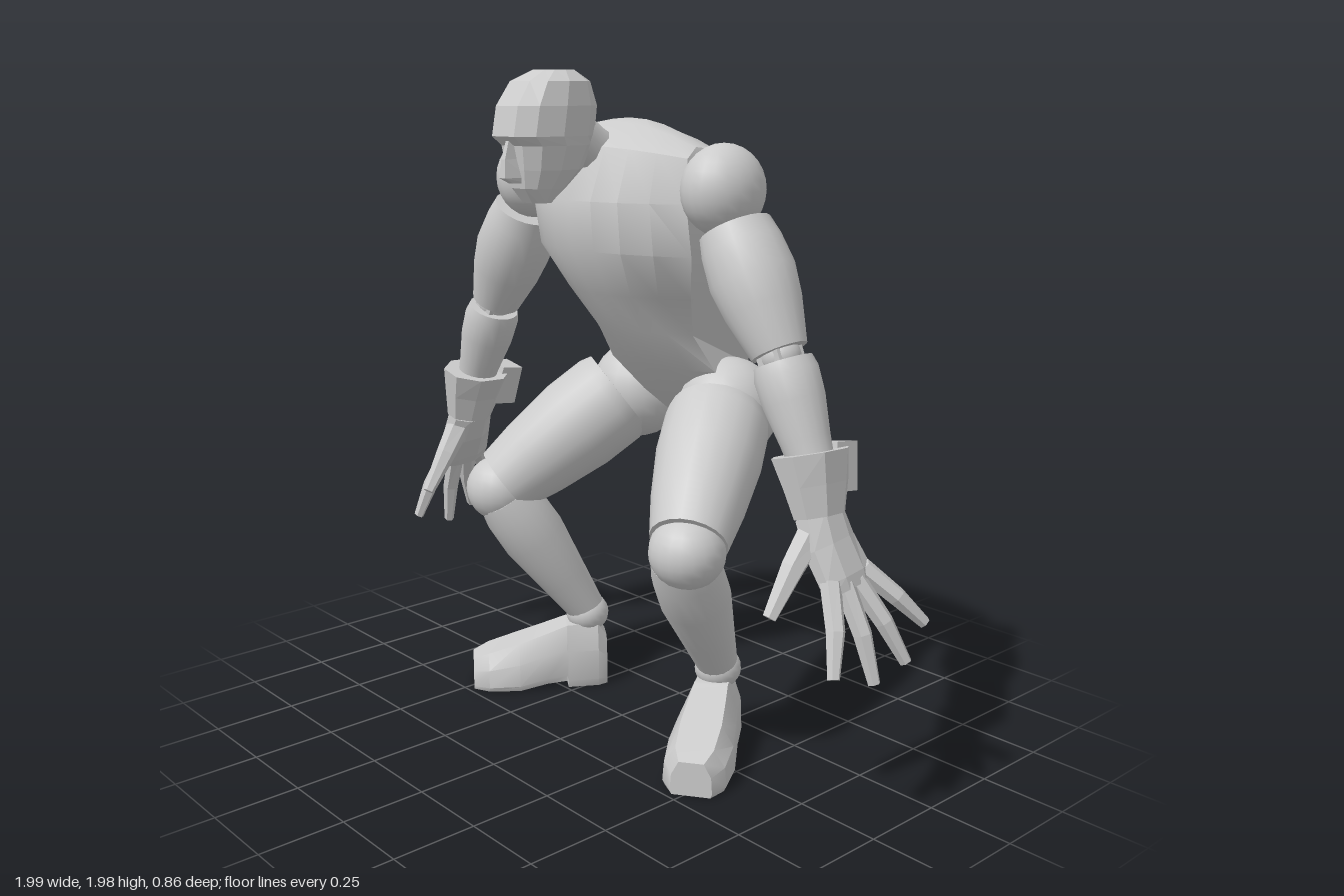
import * as THREE from 'three';
import { toCreasedNormals } from 'three/addons/utils/BufferGeometryUtils.js';

const smooth = new THREE.MeshStandardMaterial({ color: 0xcccccc });
const faceted = new THREE.MeshStandardMaterial({ color: 0xcccccc, flatShading: true });
const V = (x, y, z) => new THREE.Vector3(x, y, z);

function add(group, name, geometry, material = smooth) {
  const mesh = new THREE.Mesh(geometry, material);
  mesh.name = name;
  group.add(mesh);
  return mesh;
}

// Closed skin over rings of equal point count; winding is fixed by the signed volume.
function loft(rings, crease = 0.6) {
  const tris = [];
  const n = rings[0].length;
  for (let r = 0; r < rings.length - 1; r++) {
    for (let i = 0; i < n; i++) {
      const j = (i + 1) % n, a = rings[r], b = rings[r + 1];
      tris.push([a[i], a[j], b[j]], [a[i], b[j], b[i]]);
    }
  }
  const cap = (ring, flip) => {
    const c = ring.reduce((s, p) => s.add(p), V(0, 0, 0)).divideScalar(n);
    ring.forEach((p, i) => {
      const q = ring[(i + 1) % n];
      tris.push(flip ? [c, q, p] : [c, p, q]);
    });
  };
  cap(rings[0], true);
  cap(rings[rings.length - 1], false);
  const volume = tris.reduce((s, [a, b, c]) => s + a.dot(b.clone().cross(c)), 0);
  const points = tris.flatMap(([a, b, c]) => (volume < 0 ? [a, c, b] : [a, b, c]));
  const g = new THREE.BufferGeometry().setFromPoints(points);
  g.computeVertexNormals();
  return toCreasedNormals(g, crease);
}

// Turned limb from a to b; profile holds [fraction along, radius].
function limb(group, name, a, b, profile, sides = 20) {
  const axis = b.clone().sub(a), len = axis.length();
  const pts = [[profile[0][0], 0], ...profile, [profile[profile.length - 1][0], 0]]
    .map(([t, r]) => new THREE.Vector2(r, t * len));
  const mesh = add(group, name, toCreasedNormals(new THREE.LatheGeometry(pts, sides), 0.7));
  mesh.position.copy(a);
  mesh.quaternion.setFromUnitVectors(V(0, 1, 0), axis.normalize());
}

function ball(group, name, p, rx, ry, rz) {
  const mesh = add(group, name, new THREE.SphereGeometry(1, 20, 14));
  mesh.position.copy(p);
  mesh.scale.set(rx, ry, rz);
}

// Faceted bar along points [x, y, z, thickness radius, z radius].
function bar(group, name, s, pts, sides = 8) {
  const first = pts[0], last = pts[pts.length - 1];
  const axis = V((last[0] - first[0]) * s, last[1] - first[1], last[2] - first[2]).normalize();
  const u = V(0, 0, 1).addScaledVector(axis, -axis.z).normalize();
  const v = axis.clone().cross(u);
  const rings = pts.map(([x, y, z, rv, ru]) => Array.from({ length: sides }, (_, i) => {
    const t = (i + 0.5) / sides * Math.PI * 2, k = 1 / Math.cos(Math.PI / sides);
    return V(x * s, y, z).addScaledVector(u, Math.cos(t) * ru * k).addScaledVector(v, Math.sin(t) * rv * k);
  }));
  add(group, name, loft(rings), faceted);
}

function addTorso(group) {
  // front y, front z, back y, back z, front half width, back half width, drop at sides
  const sections = [
    [1.845, -0.03, 1.845, -0.03, 0.29, 0.29, 0.07],
    [1.835, 0.04, 1.82, -0.09, 0.305, 0.305, 0.06],
    [1.77, 0.14, 1.74, -0.17, 0.32, 0.32, 0.02],
    [1.62, 0.2, 1.62, -0.25, 0.335, 0.33, 0],
    [1.48, 0.19, 1.46, -0.315, 0.33, 0.28, 0],
    [1.35, 0.12, 1.34, -0.36, 0.265, 0.23, 0],
    [1.24, 0.04, 1.2, -0.4, 0.205, 0.19, 0],
    [1.12, -0.05, 1.1, -0.425, 0.23, 0.16, 0],
    [1.02, -0.14, 1.02, -0.43, 0.16, 0.12, 0],
    [0.9, -0.28, 0.96, -0.42, 0.075, 0.08, 0],
  ];
  const rings = sections.map(([fy, fz, by, bz, wf, wb, drop]) => {
    const ring = [];
    for (const back of [0, 1]) {
      for (let i = 0; i <= 8; i++) {
        const k = (i / 4 - 1) * (back ? -1 : 1);
        const t = back ? 1 - 0.13 * k * k : 0.3 * k * k;
        ring.push(V(k * (back ? wb : wf), fy + (by - fy) * t - drop * k * k, fz + (bz - fz) * t));
      }
    }
    return ring;
  });
  add(group, 'torso', loft(rings, 0.5));
}

function addHead(group) {
  limb(group, 'neck', V(0, 1.7, 0.04), V(0, 1.84, 0.23), [[0, 0.085], [0.5, 0.068], [1, 0.068]], 12);
  // y, back z, front z, half width
  const sections = [
    [1.975, 0.2, 0.3, 0.06], [1.945, 0.16, 0.365, 0.098], [1.88, 0.14, 0.41, 0.108],
    [1.8, 0.15, 0.425, 0.108], [1.775, 0.16, 0.395, 0.104], [1.71, 0.185, 0.385, 0.088],
    [1.66, 0.235, 0.375, 0.066], [1.62, 0.28, 0.345, 0.045],
  ];
  const rings = sections.map(([y, b, f, w]) => {
    const half = [[0.45, 1], [0.82, 0.84], [1, 0.55], [0.92, 0.22], [0.5, 0]];
    const side = (s) => half.map(([x, t]) => V(s * x * w, y, b + (f - b) * t));
    return [...side(1), ...side(-1).reverse()];
  });
  add(group, 'head', loft(rings), faceted);
  const nose = [[1.79, 0.012, 0.41], [1.74, 0.017, 0.425], [1.69, 0.026, 0.43], [1.675, 0.022, 0.4]];
  add(group, 'nose', loft(nose.map(([y, w, z]) =>
    [V(-w, y, 0.36), V(-w * 0.5, y, z), V(w * 0.5, y, z), V(w, y, 0.36)])), faceted);
}

function addArm(group, s) {
  ball(group, 'shoulder', V(0.41 * s, 1.66, 0), 0.108, 0.125, 0.125);
  limb(group, 'upperArm', V(0.455 * s, 1.56, 0), V(0.625 * s, 1.25, 0),
    [[0, 0.1], [0.15, 0.112], [0.4, 0.12], [0.65, 0.108], [1, 0.078]]);
  // Elbow hinge: pin between two prongs
  ball(group, 'elbow', V(0.63 * s, 1.24, 0), 0.055, 0.055, 0.055);
  for (const z of [-0.035, 0.035]) {
    bar(group, 'elbowProng', s, [[0.61, 1.28, z, 0.04, 0.014], [0.66, 1.17, z, 0.04, 0.014]], 4);
  }
  limb(group, 'forearm', V(0.638 * s, 1.225, 0), V(0.745 * s, 0.98, 0),
    [[0, 0.08], [0.12, 0.088], [0.4, 0.085], [0.8, 0.068], [1, 0.062]]);
  // Gauntlet
  bar(group, 'cuff', s, [[0.742, 1.0, 0, 0.09, 0.11], [0.765, 0.92, 0, 0.07, 0.095],
    [0.785, 0.84, 0.005, 0.055, 0.075]]);
  bar(group, 'cuffFlap', s, [[0.73, 1.01, -0.11, 0.045, 0.04], [0.755, 0.88, -0.095, 0.035, 0.045]], 4);
  bar(group, 'palm', s, [[0.78, 0.85, 0.005, 0.052, 0.072], [0.815, 0.77, 0, 0.046, 0.082],
    [0.86, 0.69, -0.015, 0.036, 0.09], [0.875, 0.66, -0.02, 0.028, 0.082]]);
  // Knuckle and tip of each finger, front to back
  const fingers = [
    [[0.865, 0.69, 0.05], [0.945, 0.465, 0.12]], [[0.872, 0.68, 0.005], [0.965, 0.42, -0.02]],
    [[0.872, 0.68, -0.04], [0.98, 0.455, -0.13]], [[0.865, 0.7, -0.075], [0.98, 0.545, -0.205]],
  ];
  for (const [a, b] of fingers) {
    const mid = a.map((c, i) => (c + b[i]) / 2);
    bar(group, 'finger', s, [[...a, 0.025, 0.025], [mid[0] + 0.012, mid[1], mid[2], 0.023, 0.022],
      [...b, 0.015, 0.014]], 6);
  }
  bar(group, 'thumb', s, [[0.795, 0.81, 0.04, 0.035, 0.035], [0.785, 0.72, 0.105, 0.03, 0.028],
    [0.78, 0.6, 0.185, 0.018, 0.016]], 6);
}

function addLeg(group, s) {
  ball(group, 'hip', V(0.2 * s, 0.99, -0.25), 0.15, 0.155, 0.155);
  limb(group, 'thigh', V(0.225 * s, 0.98, -0.185), V(0.43 * s, 0.69, 0.14),
    [[0, 0.145], [0.08, 0.155], [0.35, 0.155], [0.7, 0.135], [0.96, 0.112]]);
  ball(group, 'knee', V(0.43 * s, 0.68, 0.14), 0.11, 0.105, 0.108);
  limb(group, 'shin', V(0.41 * s, 0.66, 0.14), V(0.305 * s, 0.24, -0.115),
    [[0, 0.09], [0.12, 0.102], [0.35, 0.104], [0.7, 0.08], [1, 0.06]]);
  ball(group, 'ankle', V(0.305 * s, 0.23, -0.115), 0.07, 0.065, 0.07);
  // Shoe sections from heel to toe: distance, half width, top, sole height
  const sections = [
    [0, 0.06, 0.16, 0.0], [0.03, 0.078, 0.205, 0], [0.13, 0.084, 0.205, 0], [0.135, 0.084, 0.203, 0.022],
    [0.2, 0.092, 0.18, 0.018], [0.29, 0.1, 0.15, 0], [0.39, 0.092, 0.12, 0], [0.44, 0.06, 0.1, 0],
  ];
  const angle = 0.61, dx = Math.sin(angle), dz = Math.cos(angle);
  const rings = sections.map(([d, w, top, low]) => {
    const h = top - low;
    const outline = [[0.92, 0], [1, 0.12], [0.95, 0.6], [0.6, 1], [-0.6, 1], [-0.95, 0.6], [-1, 0.12], [-0.92, 0]];
    return outline.map(([k, t]) =>
      V((0.265 + dx * d + dz * w * k) * s, low + h * t, -0.16 + dz * d - dx * w * k));
  });
  add(group, 'shoe', loft(rings, 0.5));
}

export function createModel() {
  const model = new THREE.Group();
  model.name = 'crouchingFigure';
  addTorso(model);
  addHead(model);
  for (const [s, side] of [[1, 'left'], [-1, 'right']]) {
    const arm = new THREE.Group(), leg = new THREE.Group();
    arm.name = side + 'Arm';
    leg.name = side + 'Leg';
    addArm(arm, s);
    addLeg(leg, s);
    model.add(arm, leg);
  }
  return model;
}
